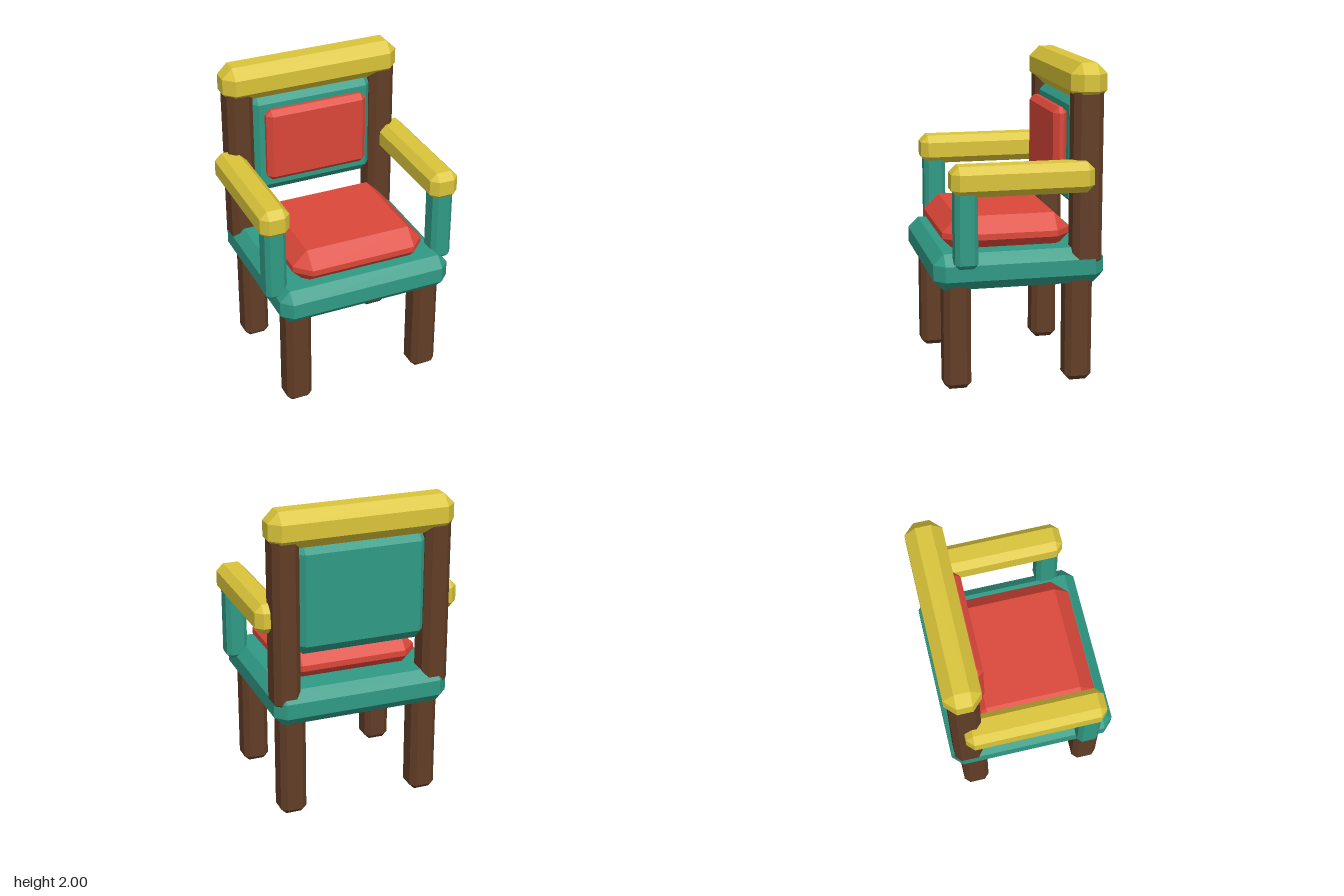
import * as THREE from 'three';
import { ConvexGeometry } from 'three/addons/geometries/ConvexGeometry.js';

const material = (name, color) => {
  const m = new THREE.MeshStandardMaterial({ color });
  m.name = name;
  return m;
};

// Box with all edges and corners cut off by the bevel b
function chamferBox(w, h, d, b) {
  const points = [];
  for (const sx of [-1, 1]) for (const sy of [-1, 1]) for (const sz of [-1, 1]) {
    const x = w / 2, y = h / 2, z = d / 2;
    points.push(
      new THREE.Vector3(sx * x, sy * (y - b), sz * (z - b)),
      new THREE.Vector3(sx * (x - b), sy * y, sz * (z - b)),
      new THREE.Vector3(sx * (x - b), sy * (y - b), sz * z)
    );
  }
  return new ConvexGeometry(points);
}

export function createModel() {
  const chair = new THREE.Group();
  chair.name = 'armchair';

  const yellow = material('yellow', 0xdac43a);
  const red = material('red', 0xdb473a);
  const teal = material('teal', 0x309a85);
  const brown = material('brown', 0x623d26);

  // Adds a chamfered block from its [min, max] range on each axis
  function block(name, mat, [x0, x1], [y0, y1], [z0, z1], bevel) {
    const mesh = new THREE.Mesh(chamferBox(x1 - x0, y1 - y0, z1 - z0, bevel), mat);
    mesh.position.set((x0 + x1) / 2, (y0 + y1) / 2, (z0 + z1) / 2);
    mesh.name = name;
    chair.add(mesh);
  }

  // Seat and its cushion
  block('seat', teal, [-0.573, 0.573], [0.637, 0.865], [-0.533, 0.533], 0.065);
  block('seatCushion', red, [-0.44, 0.44], [0.825, 1.055], [-0.355, 0.45], 0.096);

  // Backrest: top rail, panel and cushion
  block('topRail', yellow, [-0.592, 0.592], [1.767, 2], [-0.535, -0.308], 0.066);
  block('backPanel', teal, [-0.44, 0.44], [1.077, 1.797], [-0.5, -0.34], 0.07);
  block('backCushion', red, [-0.343, 0.343], [1.21, 1.705], [-0.35, -0.257], 0.034);

  // Parts repeated on both sides
  for (const [side, s] of [['left', 1], ['right', -1]]) {
    const span = (a, b) => (s > 0 ? [a, b] : [-b, -a]);
    block(side + 'FrontLeg', brown, span(0.358, 0.527), [0, 0.72], [0.3, 0.47], 0.034);
    block(side + 'BackLeg', brown, span(0.358, 0.527), [0, 0.72], [-0.467, -0.297], 0.034);
    block(side + 'BackPost', brown, span(0.403, 0.573), [0.753, 1.86], [-0.512, -0.327], 0.036);
    block(side + 'ArmSupport', teal, span(0.495, 0.633), [0.79, 1.3], [0.275, 0.417], 0.027);
    block(side + 'Armrest', yellow, span(0.47, 0.66), [1.23, 1.417], [-0.44, 0.438], 0.045);
  }

  return chair;
}
